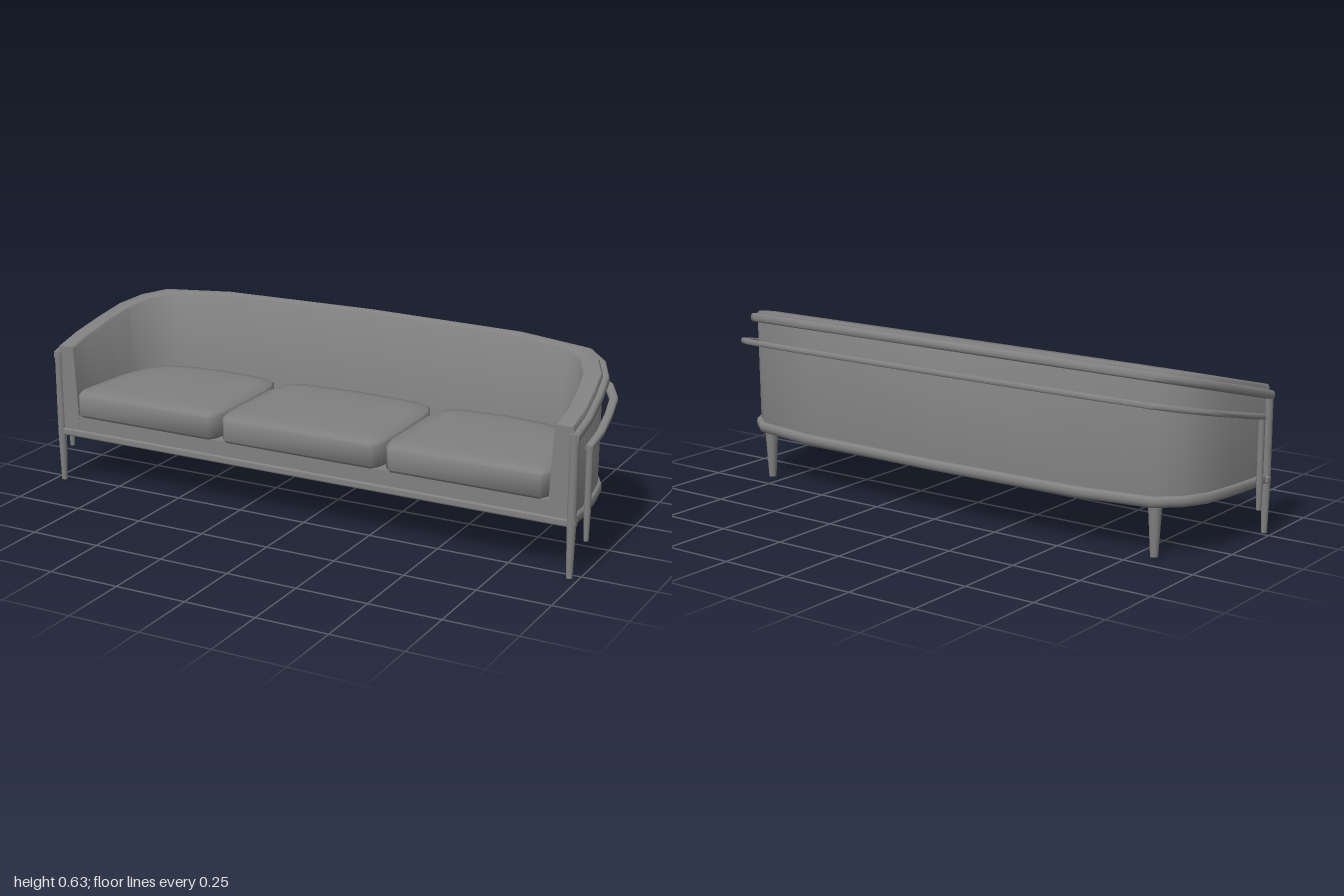
import * as THREE from 'three';
import { toCreasedNormals } from 'three/addons/utils/BufferGeometryUtils.js';
import { RoundedBoxGeometry } from 'three/addons/geometries/RoundedBoxGeometry.js';

const material = new THREE.MeshStandardMaterial({ color: 0x808080 });

// Curved plan of the sofa, front to middle of back: [share of half width, share of depth]
const HALF = [[1, 0], [1, 0.2], [0.985, 0.43], [0.965, 0.63], [0.92, 0.785], [0.845, 0.9], [0.59, 0.975], [0, 1]];
const PLAN = [...HALF, ...HALF.slice(0, -1).reverse().map(([u, v]) => [-u, v])];

// Skin over rings of points, with flat caps at both ends
function loft(rings) {
  const n = rings[0].length, last = (rings.length - 1) * n, index = [];
  for (let i = 0; i < rings.length - 1; i++) {
    for (let j = 0; j < n; j++) {
      const k = (j + 1) % n, a = i * n, b = a + n;
      index.push(a + j, b + j, a + k, a + k, b + j, b + k);
    }
  }
  for (let j = 1; j < n - 1; j++) {
    index.push(0, j, j + 1, last, last + j + 1, last + j);
  }
  const geometry = new THREE.BufferGeometry();
  geometry.setAttribute('position', new THREE.Float32BufferAttribute(rings.flat(2), 3));
  geometry.setIndex(index);
  return toCreasedNormals(geometry, 0.9);
}

// Sweep round the plan; section points are [half width, back depth, height, rise to back]
const sweep = (front, section) => loft(PLAN.map(([u, v]) =>
  section.map(([a, b, y, rise]) => [u * a, y + rise * v, front - v * (front + b)])));

// Bar with a rounded square section, following the plan and tilted with its rise
function rail(front, a, b, y, rise, w, h) {
  const section = [], tilt = rise / (front + b);
  const soften = s => Math.sign(s) * Math.sqrt(Math.abs(s));
  for (let i = 0; i < 12; i++) {
    const t = (i / 12) * Math.PI * 2;
    const out = w * soften(Math.cos(t)), up = h * soften(Math.sin(t));
    section.push([a + out, b + out - tilt * up, y + up, rise + tilt * out]);
  }
  return sweep(front, section);
}

// Puffed cushion from a plan outline
function cushion(outline) {
  const xs = outline.map(p => p[0]), zs = outline.map(p => p[1]);
  const x0 = Math.min(...xs), x1 = Math.max(...xs), z0 = Math.min(...zs), z1 = Math.max(...zs);
  const cx = (x0 + x1) / 2, cz = (z0 + z1) / 2;
  const layers = [[0.008, 0.253], [0, 0.262], [0, 0.334], [0.007, 0.343], [0.05, 0.35], [0.13, 0.355], [0.22, 0.356]];
  return loft(layers.map(([inset, y]) => outline.map(([x, z]) => [
    cx + (x - cx) * (1 - 2 * inset / (x1 - x0)), y, cz + (z - cz) * (1 - 2 * inset / (z1 - z0))])));
}

export function createModel() {
  const model = new THREE.Group();
  const add = (name, geometry, x = 0, y = 0, z = 0) => {
    const mesh = new THREE.Mesh(geometry, material);
    mesh.name = name;
    mesh.position.set(x, y, z);
    model.add(mesh);
  };
  const rod = (name, rTop, rBottom, y0, y1, x, z) =>
    add(name, new THREE.CylinderGeometry(rTop, rBottom, y1 - y0, 16), x, (y0 + y1) / 2, z);

  // Upholstered wraparound back and arms, leaning outward inside
  add('backShell', sweep(0.28, [
    [0.888, 0.19, 0.18, 0], [0.966, 0.243, 0.18, 0],
    [0.967, 0.249, 0.492, 0.13], [0.961, 0.244, 0.5, 0.13],
    [0.91, 0.219, 0.5, 0.13], [0.904, 0.214, 0.494, 0.13],
  ]));

  // Thin seat deck, open underneath, with a front apron
  const deckPlan = [...PLAN].reverse();
  add('seatDeck', loft([0.24, 0.25].map(y =>
    deckPlan.map(([u, v]) => [u * 0.92, y, 0.278 - v * 0.495]))));
  add('frontApron', new THREE.BoxGeometry(1.84, 0.07, 0.02), 0, 0.215, 0.269);

  // Frame rails
  add('upperRail', rail(0.284, 0.969, 0.256, 0.465, 0.141, 0.0165, 0.0155));
  add('outerRail', rail(0.198, 0.988, 0.288, 0.411, 0.108, 0.0125, 0.01));
  add('baseRail', rail(0.275, 0.96, 0.243, 0.188, 0, 0.0165, 0.018));
  add('frontRail', new RoundedBoxGeometry(1.97, 0.028, 0.028, 3, 0.008), 0, 0.184, 0.271);

  // Legs and posts
  for (const side of [1, -1]) {
    rod('frontPost', 0.015, 0.015, 0.17, 0.478, side * 0.969, 0.275);
    rod('frontLeg', 0.015, 0.01, 0, 0.17, side * 0.969, 0.275);
    rod('outerPost', 0.011, 0.011, 0.19, 0.418, side * 0.989, 0.192);
    rod('outerPostFoot', 0.011, 0.008, 0.1, 0.19, side * 0.989, 0.192);
    rod('rearLeg', 0.025, 0.013, 0, 0.2, side * 0.81, -0.163);
  }

  // Seat cushions
  const middle = [[0.225, -0.175], [0.275, -0.155], [0.297, -0.11], [0.307, -0.05], [0.307, 0.23], [0.298, 0.275], [0.28, 0.3]];
  add('middleCushion', cushion([[0, -0.187], ...middle, ...middle.map(([x, z]) => [-x, z]).reverse()]));
  const outer = [
    [0.4, -0.172], [0.55, -0.182], [0.7, -0.168], [0.79, -0.135], [0.84, -0.075], [0.872, 0.05],
    [0.89, 0.265], [0.872, 0.3], [0.34, 0.3], [0.322, 0.275], [0.313, 0.23], [0.313, -0.05],
    [0.323, -0.11], [0.345, -0.155],
  ];
  add('leftCushion', cushion(outer));
  add('rightCushion', cushion(outer.map(([x, z]) => [-x, z]).reverse()));

  return model;
}
